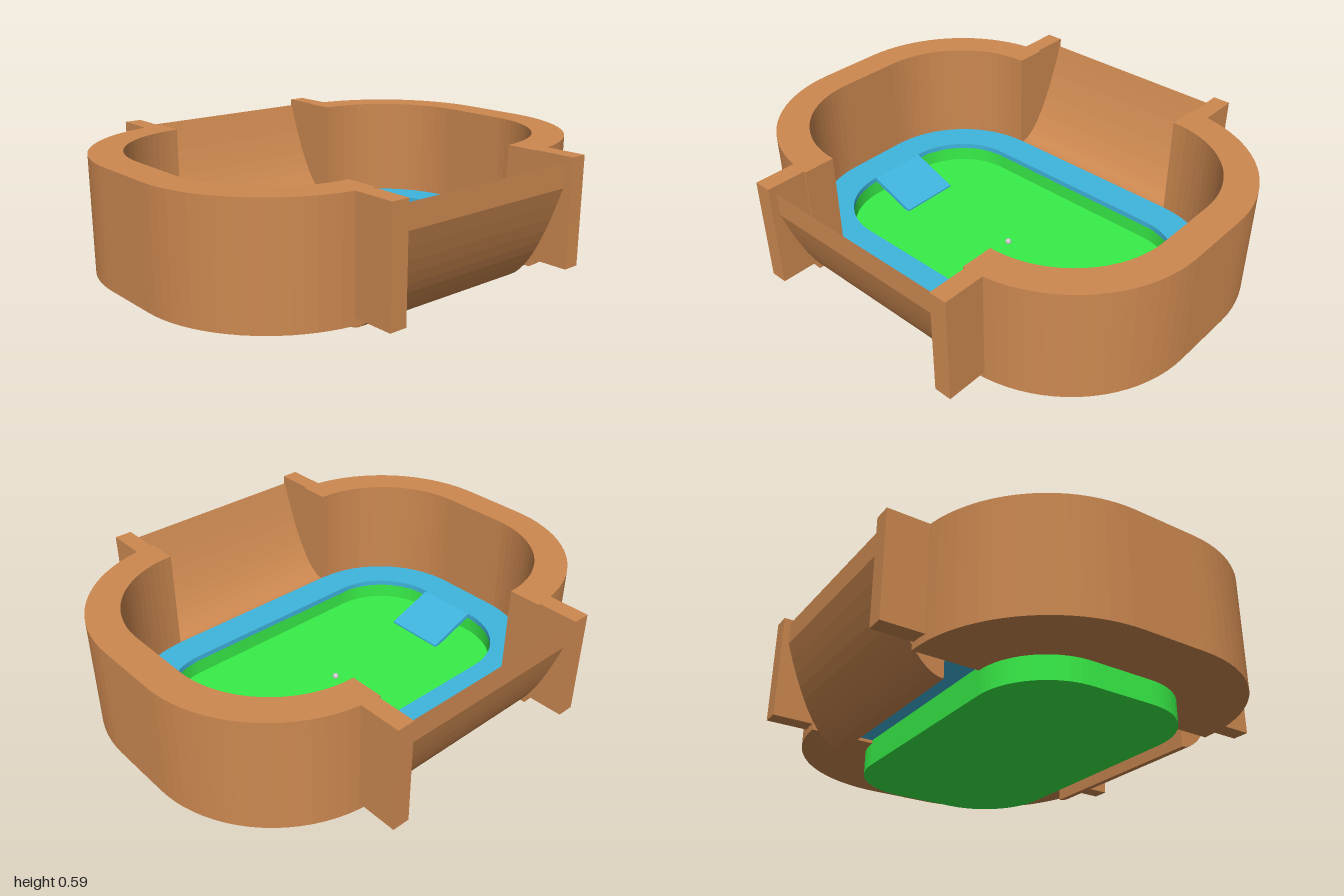
import * as THREE from 'three';

const brown = new THREE.MeshStandardMaterial({ color: 0xcc8850 });
const blue = new THREE.MeshStandardMaterial({ color: 0x3fb4de });
const green = new THREE.MeshStandardMaterial({ color: 0x38ee48 });
const grey = new THREE.MeshStandardMaterial({ color: 0xcccccc });

// All plans share the same four corner centres at (+-CX, +-CZ)
const CX = 0.14, CZ = 0.43, Q = Math.PI / 2;

// Rounded rectangle with corner radius r
function roundedPlan(r, hole) {
  const s = hole ? new THREE.Path() : new THREE.Shape();
  s.moveTo(CX + r, -CZ);
  s.absarc(CX, CZ, r, 0, Q);
  s.absarc(-CX, CZ, r, Q, 2 * Q);
  s.absarc(-CX, -CZ, r, 2 * Q, 3 * Q);
  s.absarc(CX, -CZ, r, 3 * Q, 4 * Q);
  return s;
}

function ringPlan(outer, inner) {
  const s = roundedPlan(outer);
  s.holes.push(roundedPlan(inner, true));
  return s;
}

// Half ring: a curved end of the bowl
function endPlan(outer, inner) {
  const s = new THREE.Shape();
  s.moveTo(CX + outer, CZ);
  s.absarc(CX, CZ, outer, 0, Q);
  s.absarc(-CX, CZ, outer, Q, 2 * Q);
  s.lineTo(-CX - inner, CZ);
  s.absarc(-CX, CZ, inner, 2 * Q, Q, true);
  s.absarc(CX, CZ, inner, Q, 0, true);
  return s;
}

// Raise a plan from y0 to y1
function slab(plan, y0, y1) {
  const g = new THREE.ExtrudeGeometry(plan, { depth: y1 - y0, bevelEnabled: false, curveSegments: 10 });
  return g.rotateX(-Q).translate(0, y0, 0);
}

function add(parent, name, geometry, material) {
  const m = new THREE.Mesh(geometry, material);
  m.name = name;
  parent.add(m);
  return m;
}

// Side stand section: a rising curve of constant vertical thickness
function sideStandGeometry() {
  const n = 12, x0 = 0.575, w = 0.28, rise = 0.43, thick = 0.1;
  const s = new THREE.Shape();
  for (let i = 0; i <= n; i++) {
    const t = i / n;
    if (i === 0) s.moveTo(x0, 0.03);
    else s.lineTo(x0 + w * t, 0.03 + rise * t * t);
  }
  for (let i = n; i >= 0; i--) {
    const t = i / n;
    s.lineTo(x0 + w * t, 0.03 + thick + rise * t * t);
  }
  return new THREE.ExtrudeGeometry(s, { depth: 0.85, bevelEnabled: false }).translate(0, 0, -0.425);
}

// Thin sloping slab from the walkway down to the pitch
function rampGeometry() {
  const s = new THREE.Shape();
  s.moveTo(-0.72, 0.14);
  s.lineTo(-0.72, 0.12);
  s.lineTo(-0.5, 0.04);
  s.lineTo(-0.5, 0.058);
  const g = new THREE.ExtrudeGeometry(s, { depth: 0.274, bevelEnabled: false });
  return g.translate(0, 0, -0.137).rotateY(-Q);
}

export function createModel() {
  const model = new THREE.Group();
  model.name = 'stadium';

  // Pitch basin
  add(model, 'pitch', slab(roundedPlan(0.29), 0, 0.05), green);
  add(model, 'pitchWall', slab(ringPlan(0.293, 0.289), 0.0, 0.117), green);
  const spot = add(model, 'centreSpot', new THREE.SphereGeometry(0.014, 12, 8), grey);
  spot.position.y = 0.055;

  // Walkway around the pitch
  add(model, 'walkway', slab(ringPlan(0.434, 0.289), 0.115, 0.14), blue);

  // Front and back halves: curved wall, floor, ramp and end posts
  for (const [name, turn] of [['back', 0], ['front', Math.PI]]) {
    const half = new THREE.Group();
    half.name = name + 'Half';
    half.rotation.y = turn;
    add(half, 'curvedStand', slab(endPlan(0.57, 0.433), 0.1, 0.585), brown);
    add(half, 'standFloor', slab(endPlan(0.45, 0.291), 0.1, 0.114), brown);
    add(half, 'ramp', rampGeometry(), blue);
    for (const side of [-1, 1]) {
      const post = add(half, 'endPost', new THREE.BoxGeometry(0.26, 0.455, 0.075), brown);
      post.position.set(side * 0.75, 0.3575, -0.4775);
    }
    model.add(half);
  }

  // Side stands
  for (const [name, turn] of [['leftStand', 0], ['rightStand', Math.PI]]) {
    add(model, name, sideStandGeometry(), brown).rotation.y = turn;
  }
  return model;
}
